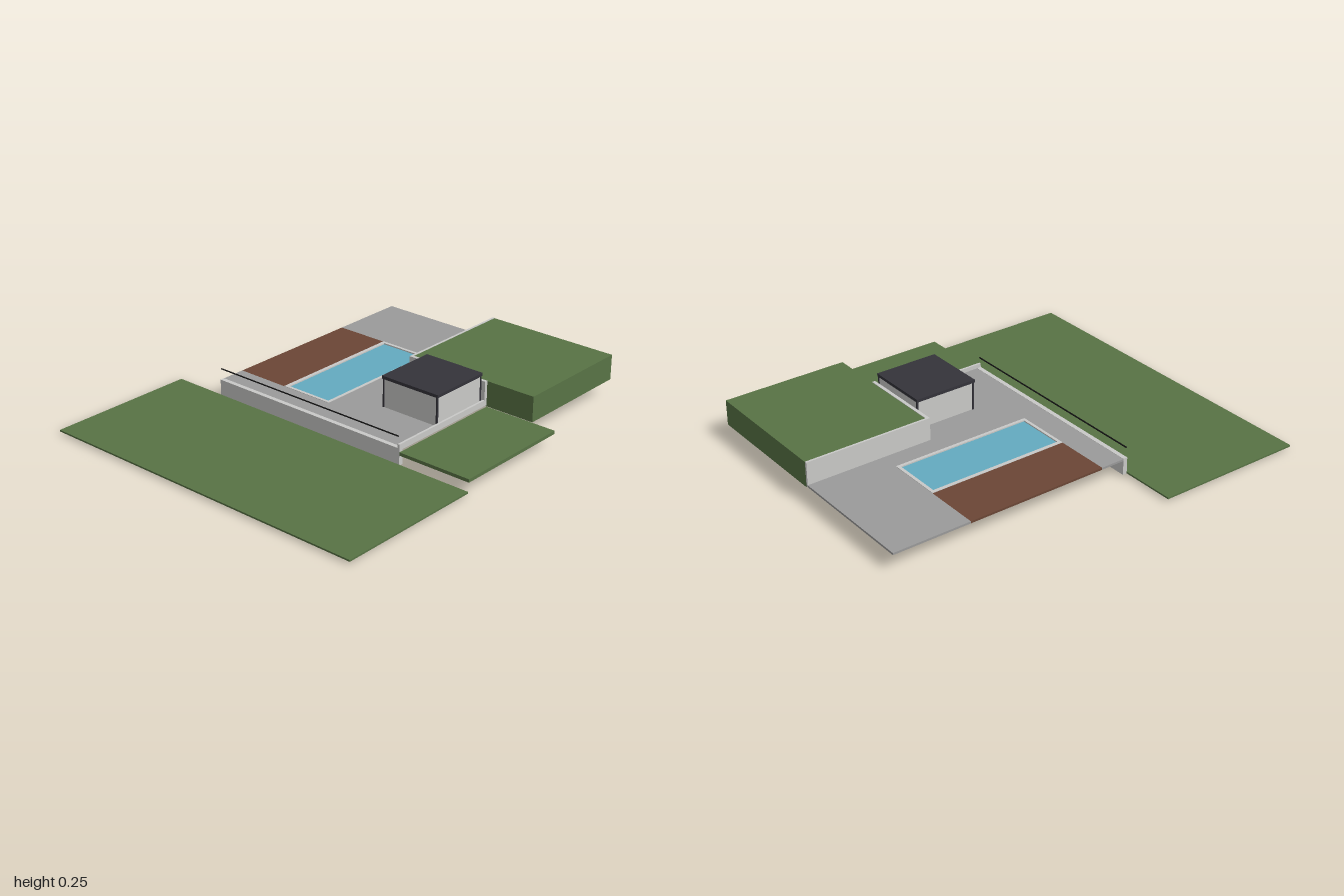
import * as THREE from 'three';

const mat = (name, color) => {
  const m = new THREE.MeshStandardMaterial({ color });
  m.name = name;
  return m;
};

export function createModel() {
  const grass = mat('grass', 0x587345);
  const paving = mat('paving', 0x9a9a9a);
  const concrete = mat('concrete', 0xc9c9c7);
  const wood = mat('wood', 0x6b4635);
  const water = mat('water', 0x64abc0);
  const poolBase = mat('pool base', 0xa0b9c3);
  const charcoal = mat('charcoal', 0x34333a);
  const black = mat('black', 0x111111);

  const model = new THREE.Group();
  model.name = 'poolGarden';

  const add = (name, geometry, material, parent = model) => {
    const mesh = new THREE.Mesh(geometry, material);
    mesh.name = name;
    parent.add(mesh);
    return mesh;
  };
  // Box given by its limits on each axis
  const box = (name, material, [x0, x1], [y0, y1], [z0, z1], parent) => {
    const g = new THREE.BoxGeometry(x1 - x0, y1 - y0, z1 - z0);
    g.translate((x0 + x1) / 2, (y0 + y1) / 2, (z0 + z1) / 2);
    return add(name, g, material, parent);
  };
  // Flat slab from a plan outline in x and z, with optional holes
  const slab = (name, material, outline, holes, y0, y1) => {
    const toPoints = (list) => list.map(([x, z]) => new THREE.Vector2(x, z));
    const shape = new THREE.Shape(toPoints(outline));
    for (const h of holes) shape.holes.push(new THREE.Path(toPoints(h)));
    const g = new THREE.ExtrudeGeometry(shape, { depth: y1 - y0, bevelEnabled: false });
    g.rotateX(Math.PI / 2).translate(0, y1, 0);
    return add(name, g, material);
  };
  const rect = (x0, x1, z0, z1) => [[x0, z0], [x1, z0], [x1, z1], [x0, z1]];

  // Lawns on three levels
  box('lowLawn', grass, [-1, -0.25], [0.012, 0.02], [-0.875, 0.872]);
  box('frontLawn', grass, [-0.247, 0.372], [0.062, 0.078], [0.493, 0.872]);
  box('raisedLawn', grass, [0.372, 1], [0.08, 0.206], [0.061, 0.75]);

  // Patio wraps around the deck, the pool and the raised lawn
  slab('patio', paving,
    [[-0.226, -0.604], [-0.103, -0.604], [-0.103, -0.05], [0.61, -0.05], [0.61, -0.604],
      [1, -0.604], [1, 0.061], [0.372, 0.061], [0.372, 0.482], [-0.226, 0.482]],
    [], 0.085, 0.095);
  box('deck', wood, [-0.103, 0.61], [0.085, 0.095], [-0.604, -0.328]);

  // Pool with coping
  box('poolWater', water, [-0.088, 0.594], [0.008, 0.091], [-0.31, -0.065]);
  box('poolFloor', poolBase, [-0.088, 0.594], [0, 0.008], [-0.31, -0.065]);
  slab('poolCoping', concrete, rect(-0.103, 0.61, -0.328, -0.05),
    [rect(-0.088, 0.594, -0.31, -0.065)], 0.085, 0.097);

  // Retaining walls and front kerb
  box('sideWall', concrete, [-0.248, -0.226], [0.014, 0.096], [-0.604, 0.493]);
  box('frontKerb', concrete, [-0.248, 0.372], [0.086, 0.115], [0.482, 0.493]);
  slab('raisedWall', concrete,
    [[0.355, 0.05], [1, 0.05], [1, 0.061], [0.372, 0.061], [0.372, 0.493], [0.355, 0.493]],
    [], 0.085, 0.208);

  // Handrail along the side wall
  box('handrail', black, [-0.244, -0.237], [0.148, 0.151], [-0.604, 0.482]);

  // Pavilion with corner posts and flat roof
  const pavilion = new THREE.Group();
  pavilion.name = 'pavilion';
  model.add(pavilion);
  box('pavilionWalls', concrete, [0.032, 0.345], [0.095, 0.236], [0.165, 0.475], pavilion);
  for (const x of [0.029, 0.34]) {
    for (const z of [0.162, 0.47]) {
      box('cornerPost', charcoal, [x, x + 0.008], [0.095, 0.236], [z, z + 0.008], pavilion);
    }
  }
  box('pavilionRoof', charcoal, [0.026, 0.35], [0.236, 0.251], [0.158, 0.481], pavilion);

  return model;
}
